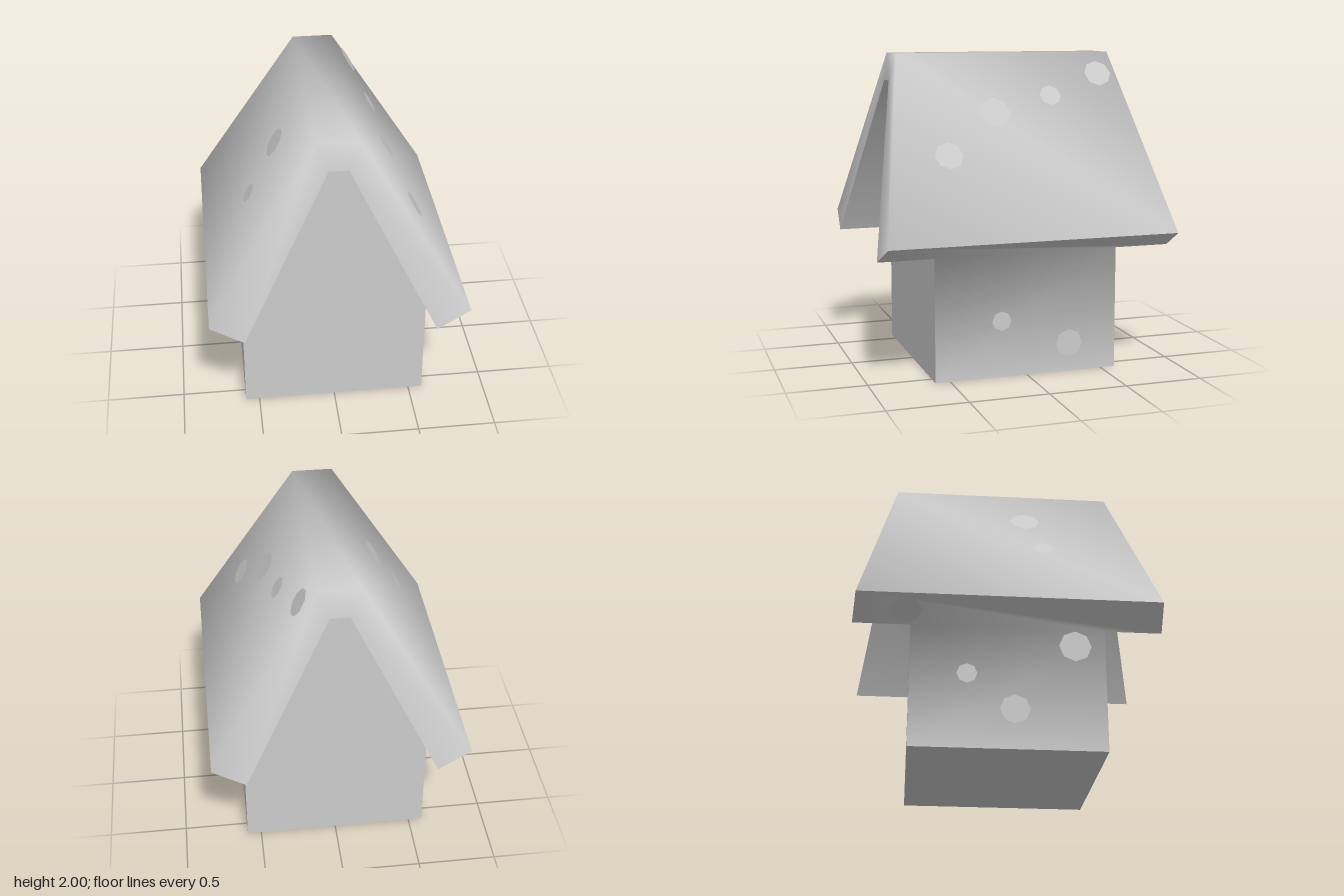
import * as THREE from 'three';
import { toCreasedNormals } from 'three/addons/utils/BufferGeometryUtils.js';

const CREASE = 1.52; // smooth slope into gable rims, keep right angles sharp

// Fan-triangulates convex polygons (arrays of [x, y, z]) into one geometry.
function fromPolygons(polygons) {
  const positions = [];
  for (const p of polygons) {
    for (let i = 1; i < p.length - 1; i++) positions.push(...p[0], ...p[i], ...p[i + 1]);
  }
  const geometry = new THREE.BufferGeometry();
  geometry.setAttribute('position', new THREE.Float32BufferAttribute(positions, 3));
  return toCreasedNormals(geometry, CREASE);
}

// Half turn about the vertical axis, and mirroring in x and z.
const turned = (polygon) => polygon.map(([x, y, z]) => [-x, y, -z]);
const withTurned = (polygons) => [...polygons, ...polygons.map(turned)];
const mx = ([x, y, z]) => [-x, y, z];
const mz = ([x, y, z]) => [x, y, -z];

export function createModel() {
  const model = new THREE.Group();
  model.name = 'house';
  const grey = new THREE.MeshStandardMaterial({ color: 0xcccccc });
  grey.name = 'plain grey';

  const add = (name, geometry) => {
    const mesh = new THREE.Mesh(geometry, grey);
    mesh.name = name;
    model.add(mesh);
    return mesh;
  };

  // Corners of the front left quarter
  const ridge = [0.13, 2, 0.71];
  const eave = [0.8, 0.89, 0.928];
  const innerEave = [0.59, 0.78, 0.95];
  const innerRidge = [0.06, 1.83, 0.743];
  const wallTop = [0.59, 0.78, 0.595];
  const wallPeak = [0.06, 1.83, 0.595];
  const wallFoot = [0.59, 0, 0.595];

  // Roof: slopes, flat ridge and slanted end rims
  add('roof', fromPolygons([
    ...withTurned([
      [ridge, eave, mz(eave), mz(ridge)],
      [innerRidge, innerEave, eave, ridge],
      [mx(ridge), mx(eave), mx(innerEave), mx(innerRidge)],
      [innerRidge, ridge, mx(ridge), mx(innerRidge)],
    ]),
    [ridge, mz(ridge), mx(mz(ridge)), mx(ridge)],
  ]));

  // Undersides of the roof overhanging the gables
  add('roofLining', fromPolygons(withTurned([
    [innerEave, innerRidge, wallPeak, wallTop],
    [mx(wallTop), mx(wallPeak), mx(innerRidge), mx(innerEave)],
    [innerRidge, mx(innerRidge), mx(wallPeak), wallPeak],
  ])));

  // Side walls running smoothly into the soffits
  add('sideWallsAndSoffits', fromPolygons(withTurned([
    [wallFoot, mz(wallFoot), mz(wallTop), wallTop],
    [eave, innerEave, wallTop, mz(wallTop), mz(innerEave), mz(eave)],
  ])));

  // Gable walls and floor
  add('gableWalls', fromPolygons(withTurned([
    [wallFoot, wallTop, wallPeak, mx(wallPeak), mx(wallTop), mx(wallFoot)],
  ])));
  add('floor', fromPolygons([
    [wallFoot, mx(wallFoot), mx(mz(wallFoot)), mz(wallFoot)],
  ]));

  // Flat octagonal spots: centre, radius
  const addSpots = (name, normal, list) => {
    for (const [x, y, z, r] of list) {
      const spot = add(name, new THREE.CircleGeometry(r, 8));
      spot.position.set(x, y, z);
      spot.lookAt(x + normal[0], y + normal[1], z + normal[2]);
    }
  };
  addSpots('leftRoofSpot', [0.856, 0.517, 0], [
    [0.508, 1.395, 0.475, 0.09],
    [0.372, 1.64, 0.14, 0.1],
    [0.323, 1.735, -0.245, 0.07],
    [0.228, 1.865, -0.605, 0.09],
  ]);
  addSpots('rightRoofSpot', [-0.856, 0.517, 0], [
    [-0.33, 1.69, 0.135, 0.097],
    [-0.507, 1.395, 0.235, 0.065],
  ]);
  addSpots('leftWallSpot', [1, 0, 0], [
    [0.598, 0.36, 0.168, 0.062],
    [0.598, 0.185, -0.28, 0.088],
  ]);
  addSpots('rightWallSpot', [-1, 0, 0], [
    [-0.598, 0.67, 0.41, 0.1],
    [-0.598, 0.47, -0.25, 0.063],
    [-0.598, 0.25, 0.04, 0.092],
  ]);
  addSpots('soffitSpot', [-0.46, -0.88, 0], [[-0.702, 0.827, -0.63, 0.1]]);

  return model;
}
